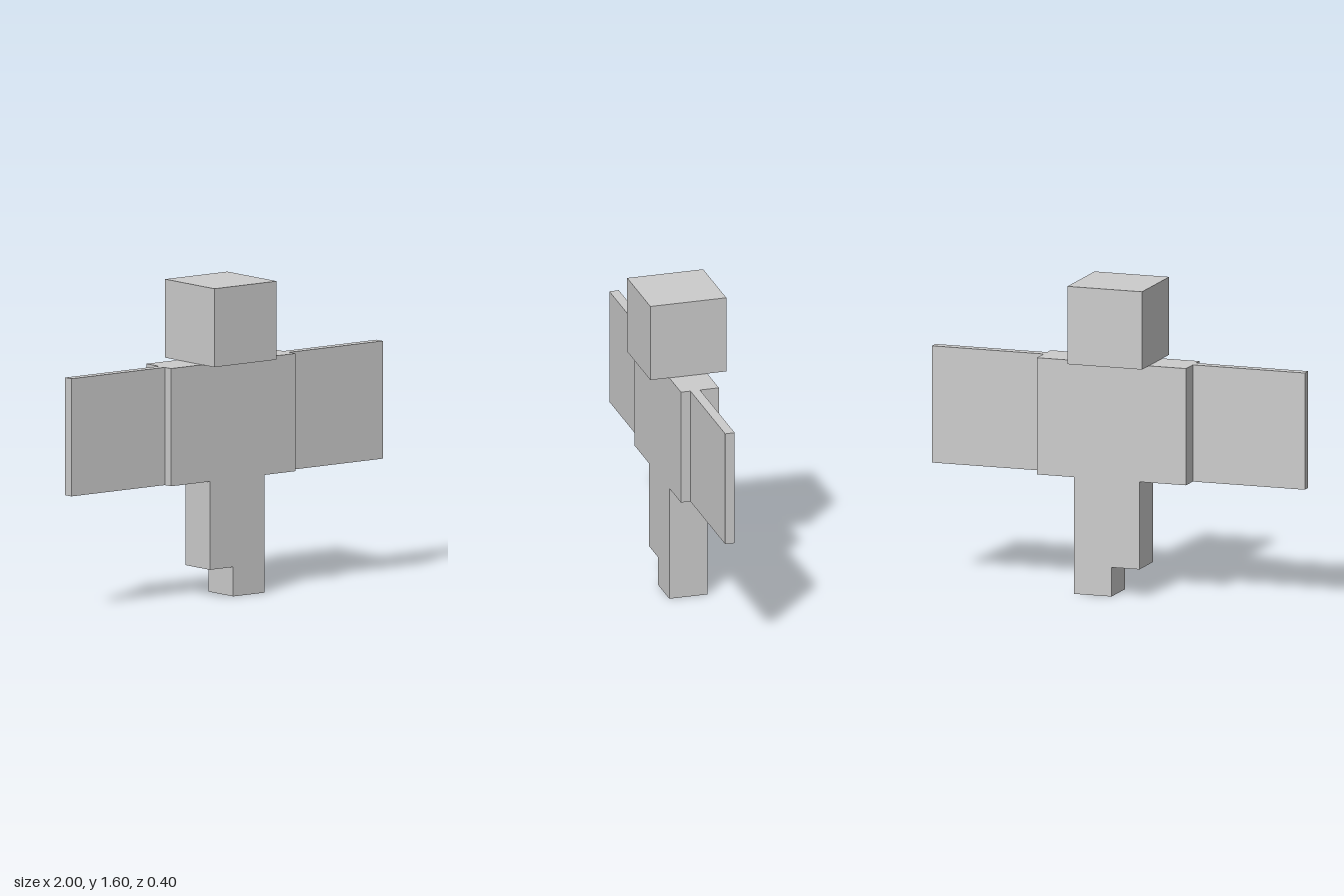
import * as THREE from 'three';

const material = new THREE.MeshStandardMaterial({ color: 0xcccccc, flatShading: true });

// Box given by its minimum and maximum corners
function block(name, min, max) {
  const size = max.map((v, i) => v - min[i]);
  const mesh = new THREE.Mesh(new THREE.BoxGeometry(...size), material);
  mesh.name = name;
  mesh.position.set(...max.map((v, i) => (v + min[i]) / 2));
  return mesh;
}

export function createModel() {
  const model = new THREE.Group();
  model.name = 'blockFigure';

  model.add(
    block('head', [-0.2, 1.2, -0.2], [0.2, 1.6, 0.2]),
    block('torso', [-0.4, 0.6, -0.1], [0.4, 1.2, 0.1]),
    // Thin wing-like arms, set just forward of the middle
    block('leftWing', [0.4, 0.6, 0], [1, 1.2, 0.05]),
    block('rightWing', [-1, 0.6, 0], [-0.4, 1.2, 0.05]),
    // The right leg is shorter and narrower
    block('leftLeg', [0, 0, -0.1], [0.2, 0.6, 0.1]),
    block('rightLeg', [-0.15, 0.15, -0.1], [0, 0.6, 0.1]),
  );
  return model;
}
